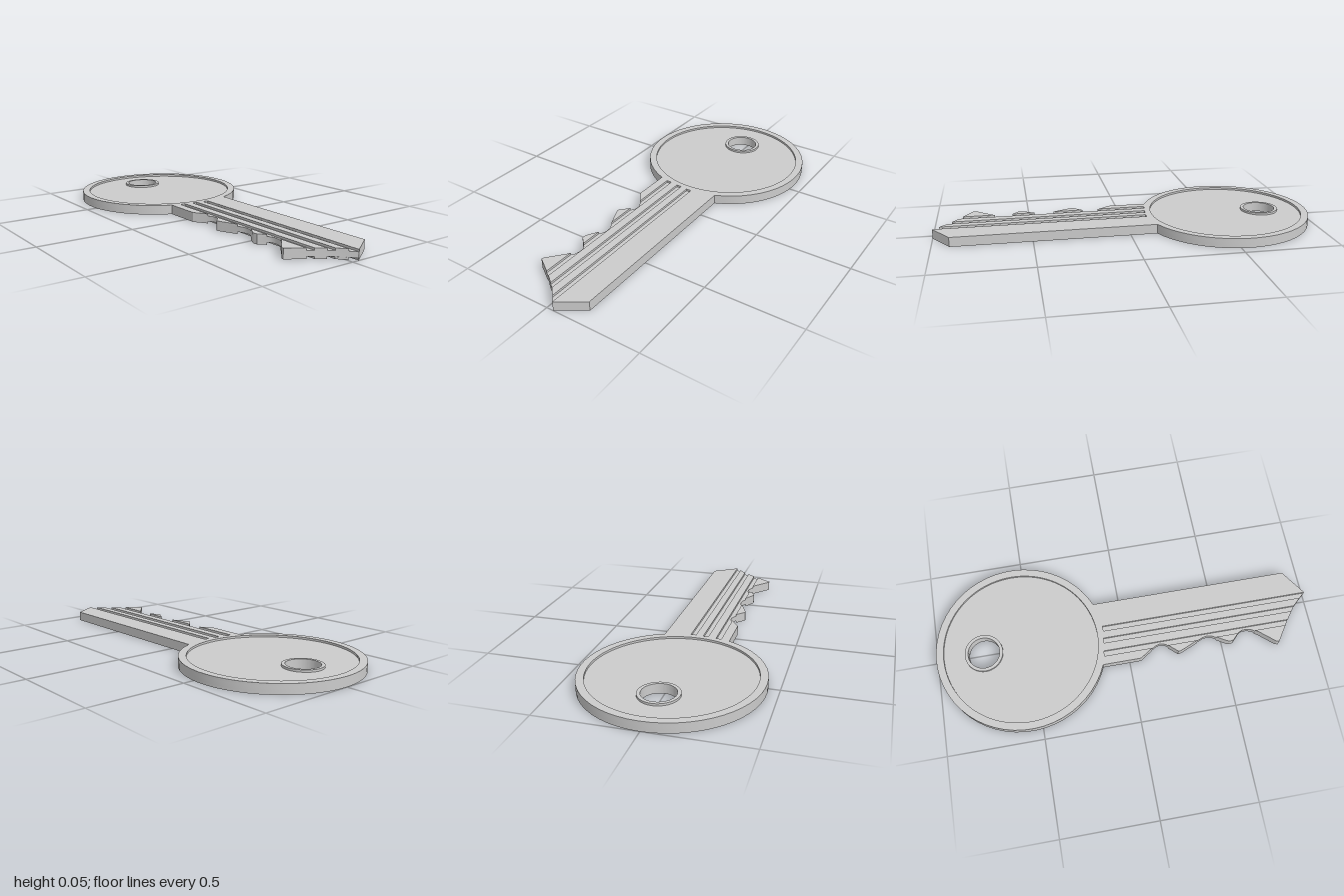
import * as THREE from 'three';
import { toCreasedNormals } from 'three/addons/utils/BufferGeometryUtils.js';

const HEIGHT = 0.05, RELIEF = 0.011;
const BOW = { z: -0.553, r: 0.447, inner: 0.408 };
const HOLE = { z: -0.75, r: 0.083, collar: 0.1 };
const RIGHT = 0.17, TIP = [0.037, 1], SHOULDER = [RIGHT, 0.911];

// toothed edge of the blade, from bow to tip, as [x, z]
const CUTS = [
  [-0.175, -0.14], [-0.175, 0.06], [-0.138, 0.115], [-0.118, 0.15], [-0.112, 0.17],
  [-0.114, 0.188], [-0.122, 0.205], [-0.172, 0.26], [-0.173, 0.268], [-0.163, 0.295],
  [-0.118, 0.4], [-0.112, 0.428], [-0.118, 0.455], [-0.16, 0.524], [-0.166, 0.54], [-0.163, 0.56],
  [-0.122, 0.6], [-0.113, 0.62], [-0.113, 0.645], [-0.12, 0.67], [-0.143, 0.705],
  [-0.21, 0.783], [-0.213, 0.797], [-0.1, 0.873], [-0.02, 0.934], TIP,
];
const SLANT = CUTS.slice(-4);

// grooves: left wall, right wall, start z
const GROOVES = [[-0.13, -0.101, -0.127], [-0.058, -0.03, -0.117], [0.009, 0.037, -0.11]];

const material = new THREE.MeshStandardMaterial({ color: 0xcccccc });
const toShape = (pts) => new THREE.Shape(pts.map(([x, z]) => new THREE.Vector2(x, z)));

function circle(z, r) {
  return new THREE.Path().absarc(0, z, r, 0, Math.PI * 2, true);
}

// Extrude shapes drawn in the x-z plane between two heights
function slab(name, shapes, y0, y1) {
  let geo = new THREE.ExtrudeGeometry(shapes, { depth: y1 - y0, bevelEnabled: false, curveSegments: 48 });
  geo.rotateX(Math.PI / 2).translate(0, y1, 0);
  geo = toCreasedNormals(geo, 0.45);
  const mesh = new THREE.Mesh(geo, material);
  mesh.name = name;
  return mesh;
}

// Round bow outline, from the left neck around the back to the right neck
function bowArc() {
  const angle = (x) => Math.acos(x / BOW.r);
  const a0 = angle(-0.175), a1 = angle(RIGHT) + Math.PI * 2;
  return Array.from({ length: 49 }, (_, i) => {
    const a = a0 + (a1 - a0) * i / 48;
    return [BOW.r * Math.cos(a), BOW.z + BOW.r * Math.sin(a)];
  });
}

// Slanted tip edge at a given x
function slantPoint(x) {
  for (let i = 1; i < SLANT.length; i++) {
    const [a, b] = [SLANT[i - 1], SLANT[i]];
    if (x <= b[0]) return [x, a[1] + (b[1] - a[1]) * (x - a[0]) / (b[0] - a[0])];
  }
  return TIP;
}

// Stretches of the toothed edge lying left of x = limit
function toothRuns(limit) {
  const runs = [[CUTS[0]]];
  for (let i = 1; i < CUTS.length; i++) {
    const [a, b] = [CUTS[i - 1], CUTS[i]];
    const inA = a[0] < limit, inB = b[0] < limit;
    if (inA !== inB) {
      const cross = [limit, a[1] + (b[1] - a[1]) * (limit - a[0]) / (b[0] - a[0])];
      if (inB) runs.push([cross]);
      else runs[runs.length - 1].push(cross);
    }
    if (inB) runs[runs.length - 1].push(b);
  }
  return runs;
}

export function createModel() {
  const key = new THREE.Group();
  key.name = 'key';
  const arc = bowArc();

  // thin core with the full outline
  const core = toShape([...arc, SHOULDER, ...CUTS.slice(1).reverse()]);
  core.holes.push(circle(HOLE.z, HOLE.r));
  key.add(slab('core', core, RELIEF, HEIGHT - RELIEF));

  // raised layer: bow rim and blade ribs in one outline, with the grooves as notches
  const [firstTooth, ...teeth] = toothRuns(GROOVES[0][0]);
  const ribs = [...arc, SHOULDER, TIP];
  for (const [left, right, start] of [...GROOVES].reverse()) {
    if (right < TIP[0]) ribs.push(slantPoint(right));
    ribs.push([right, start], [left, start]);
    if (left > GROOVES[0][0]) ribs.push(slantPoint(left));
  }
  ribs.push(...firstTooth.slice(1).reverse());
  const raised = toShape(ribs);
  raised.holes.push(circle(BOW.z, BOW.inner));

  // raised ring around the hole
  const collar = new THREE.Shape().absarc(0, HOLE.z, HOLE.collar, 0, Math.PI * 2);
  collar.holes.push(circle(HOLE.z, HOLE.r));

  // same relief on both faces
  for (const [side, y] of [['upper', HEIGHT - RELIEF], ['lower', 0]]) {
    key.add(slab(side + 'RimAndRibs', raised, y, y + RELIEF));
    key.add(slab(side + 'Teeth', teeth.map(toShape), y, y + RELIEF));
    key.add(slab(side + 'HoleCollar', collar, y, y + RELIEF));
  }
  return key;
}
